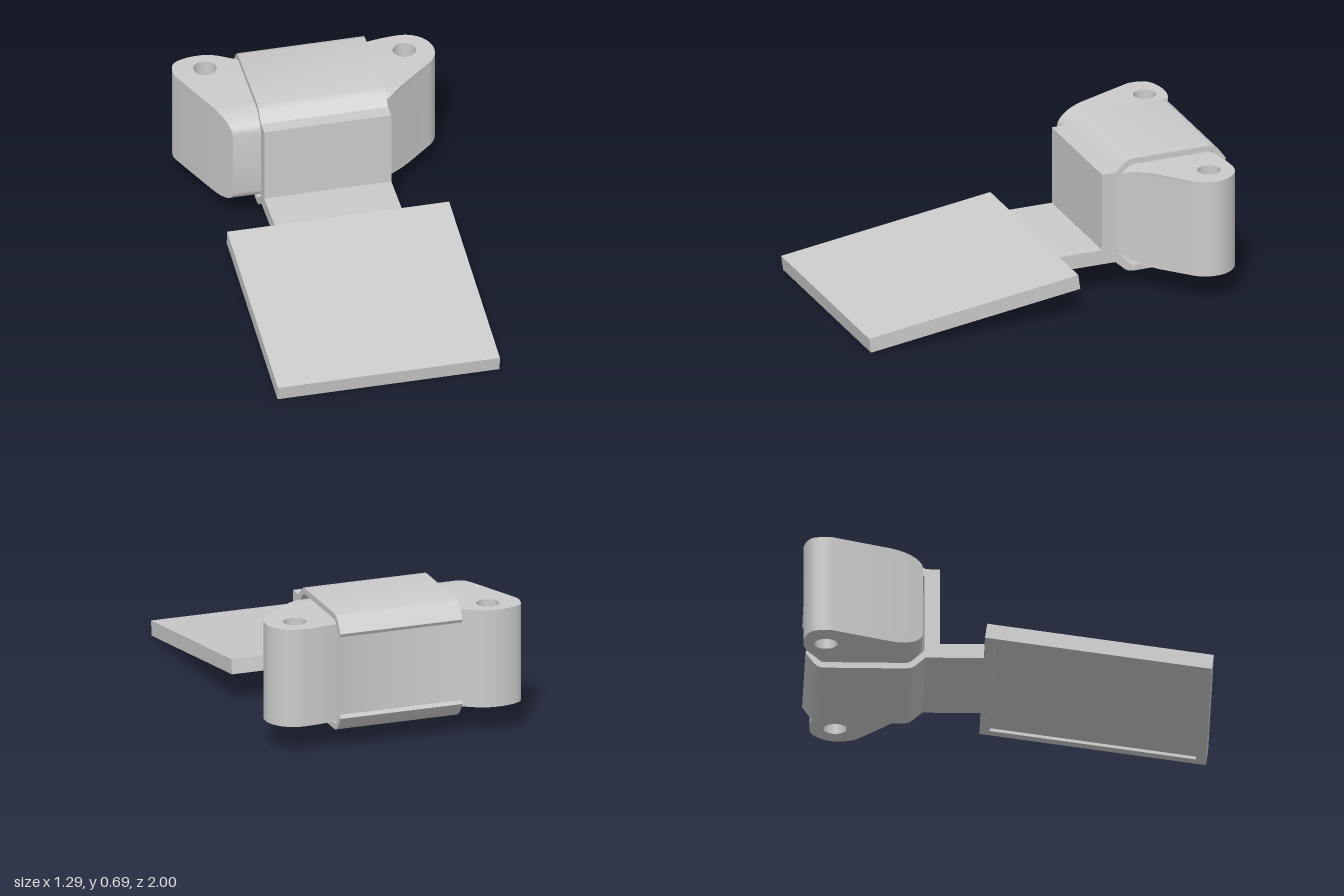
import * as THREE from 'three';
import { toCreasedNormals } from 'three/addons/utils/BufferGeometryUtils.js';

const material = new THREE.MeshStandardMaterial({ color: 0xcccccc });

function addMesh(parent, name, geometry) {
  const mesh = new THREE.Mesh(toCreasedNormals(geometry, 0.6), material);
  mesh.name = name;
  parent.add(mesh);
  return mesh;
}

// Extrudes a side profile of [z, y] points across x, centred on x = 0
function acrossX(points, width) {
  const shape = new THREE.Shape(points.map(([z, y]) => new THREE.Vector2(z, y)));
  return new THREE.ExtrudeGeometry(shape, { depth: width, bevelEnabled: false })
    .rotateY(-Math.PI / 2)
    .translate(width / 2, 0, 0);
}

// Two-lugged block, its front top and bottom edges rounded
function bodyGeometry() {
  const FRONT = -0.415, INSET = 0.16, ROUND = 0.075;
  const BOTTOM = 0.15, TOP = 0.65, N = 7, STEPS = 2 * N + 2;
  const cornerX = (side, z) => side < 0
    ? -0.455 - 0.42 * (FRONT - z)
    : 0.267 + 1.2 * (FRONT - z);
  const capZ = FRONT - INSET;

  // Outline in plan, with shape y = -z
  const s = new THREE.Shape();
  s.moveTo(cornerX(-1, capZ), -capZ);
  s.lineTo(cornerX(1, capZ), -capZ);
  s.lineTo(0.587, 0.688);
  s.absarc(0.495, 0.8, 0.145, -0.88, Math.PI / 2, false);
  s.bezierCurveTo(0.42, 0.944, 0.38, 0.935, 0.32, 0.925);
  s.bezierCurveTo(0.15, 0.87, -0.12, 0.86, -0.32, 0.93);
  s.bezierCurveTo(-0.38, 0.96, -0.41, 1.0, -0.5, 1.0);
  s.bezierCurveTo(-0.56, 1.0, -0.62, 0.98, -0.635, 0.95);
  s.bezierCurveTo(-0.645, 0.92, -0.65, 0.89, -0.643, 0.862);
  s.closePath();
  for (const [x, y] of [[-0.485, 0.89], [0.495, 0.82]]) {
    s.holes.push(new THREE.Path().absarc(x, y, 0.057, 0, Math.PI * 2, true));
  }

  const geo = new THREE.ExtrudeGeometry(s, {
    depth: 1, steps: STEPS, curveSegments: 20, bevelEnabled: false,
  });
  // Place each level and slide the front corners along the side walls
  const p = geo.attributes.position;
  for (let i = 0; i < p.count; i++) {
    const level = Math.round(p.getZ(i) * STEPS);
    const fromEnd = Math.min(level, STEPS - level);
    const a = Math.min(fromEnd / N, 1) * Math.PI / 2;
    const rise = fromEnd > N ? (TOP - BOTTOM) / 2 : ROUND * (1 - Math.cos(a));
    const y = level <= STEPS / 2 ? BOTTOM + rise : TOP - rise;
    let x = p.getX(i), z = -p.getY(i);
    if (Math.abs(z - capZ) < 1e-4) {
      z = capZ + INSET * Math.sin(a);
      x = cornerX(Math.sign(x), z);
    }
    p.setXYZ(i, x, y, z);
  }
  return geo;
}

export function createModel() {
  const model = new THREE.Group();
  model.name = 'clampedPedal';

  addMesh(model, 'lugBody', bodyGeometry());

  // Upright and neck in one L-shaped piece
  const WIDTH = 0.635;
  addMesh(model, 'uprightAndNeck', acrossX([
    [-0.105, 0.235], [-0.33, 0.235], [-0.33, 0.635], [-0.405, 0.635],
    [-0.405, 0.16], [-0.116, 0.16],
  ], WIDTH));

  // Straps over and under the body, hooked at the back
  const strap = [
    [-0.4, 0.635], [-0.45, 0.68], [-0.468, 0.691], [-0.49, 0.695],
    [-0.9, 0.695], [-0.925, 0.688], [-0.945, 0.67], [-0.985, 0.615],
    [-0.975, 0.597], [-0.925, 0.648], [-0.912, 0.661], [-0.895, 0.665],
    [-0.495, 0.665], [-0.475, 0.66], [-0.46, 0.648], [-0.4, 0.592],
  ];
  addMesh(model, 'topStrap', acrossX(strap, WIDTH));
  addMesh(model, 'bottomStrap', acrossX(strap.map(([z, y]) => [z, 0.795 - y]).reverse(), WIDTH));

  // Sloping foot plate with a shallow recess framed by a rim underneath
  const LENGTH = 1.116, PLATE_W = 1.11, THICK = 0.076, LIP = 0.015, RIM = 0.05;
  const plate = new THREE.Group();
  plate.name = 'footPlate';
  plate.position.set(0, 0.235, -0.105);
  plate.rotation.x = Math.atan2(0.155, 1.105);
  const slab = new THREE.BoxGeometry(PLATE_W, THICK - LIP, LENGTH);
  addMesh(plate, 'plateSlab', slab.translate(0, -(THICK - LIP) / 2, LENGTH / 2));

  const rect = (Type, inset) => new Type([
    [-PLATE_W / 2 + inset, inset], [PLATE_W / 2 - inset, inset],
    [PLATE_W / 2 - inset, LENGTH - inset], [-PLATE_W / 2 + inset, LENGTH - inset],
  ].map(([x, y]) => new THREE.Vector2(x, y)));
  const rim = rect(THREE.Shape, 0);
  rim.holes.push(rect(THREE.Path, RIM));
  addMesh(plate, 'plateRim', new THREE.ExtrudeGeometry(rim, { depth: LIP, bevelEnabled: false })
    .rotateX(Math.PI / 2)
    .translate(0, LIP - THICK, 0));
  model.add(plate);

  return model;
}
